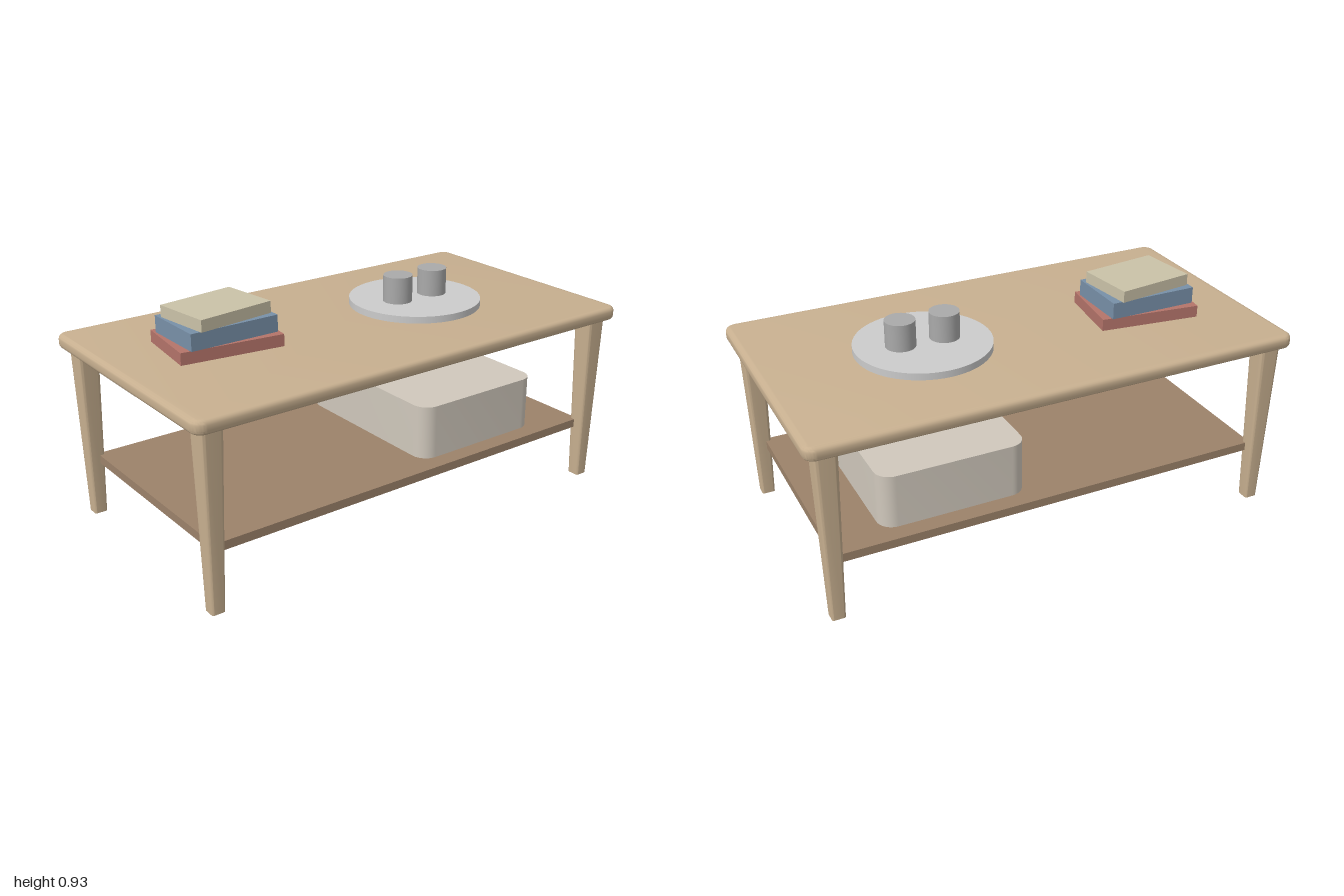
import * as THREE from 'three';
import { toCreasedNormals } from 'three/addons/utils/BufferGeometryUtils.js';

const paint = (color) => new THREE.MeshStandardMaterial({ color });

// Upright slab with corners rounded in plan, standing on y = 0
function roundedSlab(w, h, d, r, bevel = 0) {
  const x = w / 2, y = d / 2, q = Math.PI / 2;
  const s = new THREE.Shape();
  s.absarc(x - r, y - r, r, 0, q);
  s.absarc(-x + r, y - r, r, q, 2 * q);
  s.absarc(-x + r, -y + r, r, 2 * q, 3 * q);
  s.absarc(x - r, -y + r, r, 3 * q, 4 * q);
  s.closePath();
  const g = new THREE.ExtrudeGeometry(s, {
    depth: h - 2 * bevel, curveSegments: 6, bevelEnabled: bevel > 0,
    bevelThickness: bevel, bevelSize: bevel, bevelOffset: -bevel, bevelSegments: 4,
  });
  g.translate(0, 0, bevel);
  g.rotateX(-Math.PI / 2);
  return g;
}

export function createModel() {
  const group = new THREE.Group();
  const wood = paint(0xc8b090), darkWood = paint(0x9c826a);

  const add = (name, geometry, material, x, y, z, turn = 0) => {
    const m = new THREE.Mesh(geometry, material);
    m.name = name;
    m.position.set(x, y, z);
    m.rotation.y = turn;
    group.add(m);
    return m;
  };

  // Table top with softened edges
  add('tableTop', toCreasedNormals(roundedSlab(2, 0.055, 1.084, 0.045, 0.018), 0.6), wood, 0, 0.71, 0);

  // Tapered legs, narrowing towards the floor
  const legHeight = 0.712;
  const leg = roundedSlab(0.088, legHeight, 0.088, 0.015);
  const p = leg.attributes.position;
  for (let i = 0; i < p.count; i++) {
    const k = THREE.MathUtils.lerp(0.61, 1, p.getY(i) / legHeight);
    p.setX(i, p.getX(i) * k);
    p.setZ(i, p.getZ(i) * k);
  }
  const legGeometry = toCreasedNormals(leg, 0.6);
  for (const [sx, side] of [[1, 'left'], [-1, 'right']])
    for (const [sz, end] of [[1, 'Front'], [-1, 'Back']])
      add(`${side}${end}Leg`, legGeometry, wood, sx * 0.917, 0, sz * 0.465);

  // Lower shelf and the storage box on it
  add('shelf', new THREE.BoxGeometry(1.81, 0.035, 0.91), darkWood, 0, 0.2375, 0);
  add('storageBox', toCreasedNormals(roundedSlab(0.6, 0.22, 0.766, 0.065), 0.6), paint(0xd0c8bc), 0.396, 0.255, 0);

  // Round tray with two cups
  add('tray', new THREE.CylinderGeometry(0.272, 0.272, 0.028, 64), paint(0xcccccc), 0.357, 0.779, 0);
  const cup = new THREE.CylinderGeometry(0.06, 0.06, 0.109, 40), cupGrey = paint(0xaaaaaa);
  add('rightCup', cup, cupGrey, 0.266, 0.8475, 0);
  add('leftCup', cup, cupGrey, 0.448, 0.8475, 0);

  // Stack of books: width, height, depth, base, turn, colour
  const books = [
    ['bottomBook', 0.415, 0.048, 0.294, 0.765, -0.12, 0xb4746a],
    ['middleBook', 0.37, 0.067, 0.268, 0.813, 0, 0x7890a8],
    ['topBook', 0.325, 0.047, 0.246, 0.88, 0.13, 0xcac2a8],
  ];
  for (const [name, w, h, d, y, turn, color] of books)
    add(name, new THREE.BoxGeometry(w, h, d), paint(color), -0.561, y + h / 2, -0.055, turn);

  return group;
}
